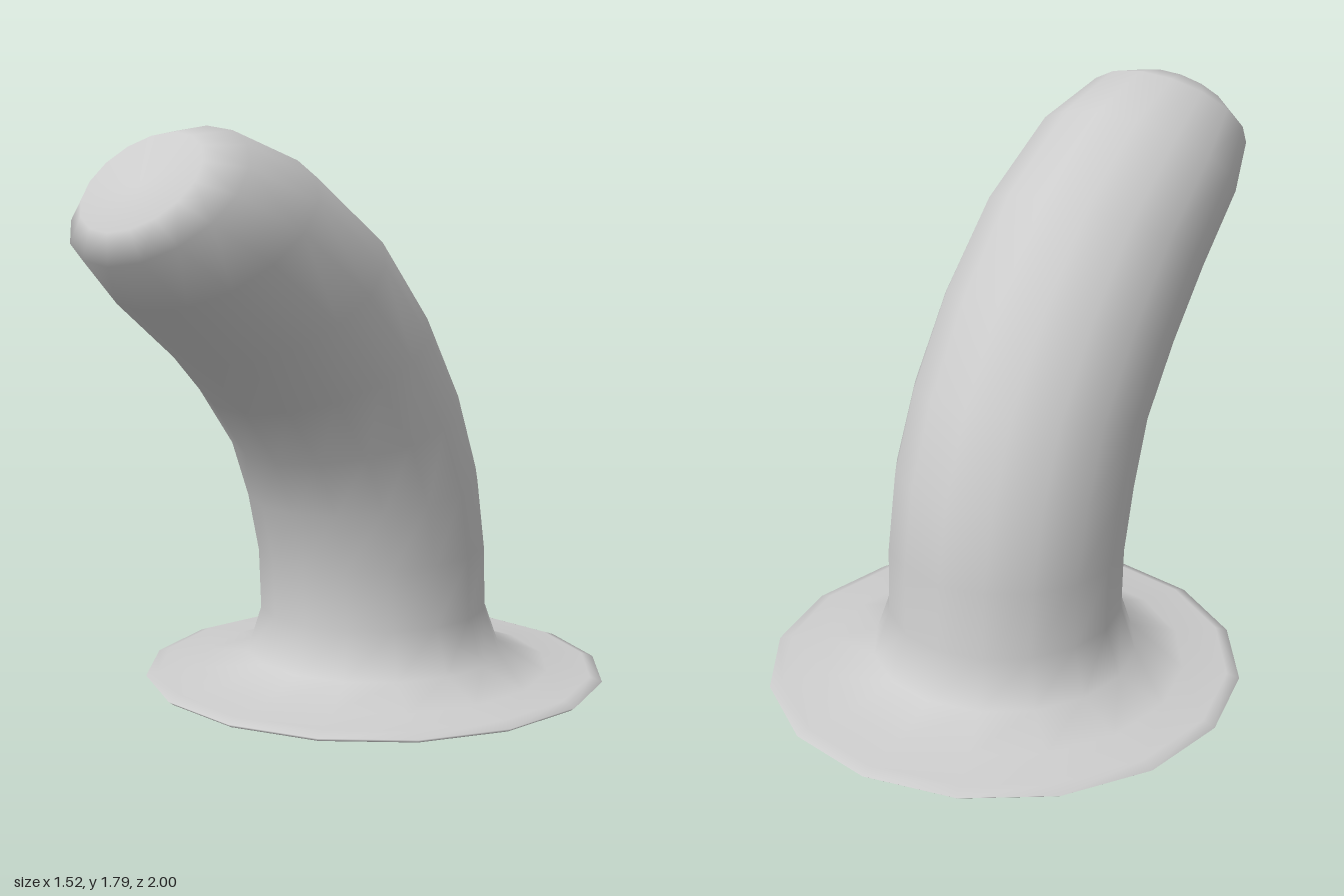
import * as THREE from 'three';

const SIDES = 16;
const BASE_Z = -0.24;

// Smooth surface through circular rings, each given by its front and back points [z, y]
function loftRings(rings, capped) {
  const pos = [], idx = [];
  for (const [fz, fy, bz, by] of rings) {
    const cz = (fz + bz) / 2, cy = (fy + by) / 2;
    const dz = (fz - bz) / 2, dy = (fy - by) / 2;
    const r = Math.hypot(dz, dy);
    for (let i = 0; i < SIDES; i++) {
      const a = (i / SIDES) * Math.PI * 2;
      pos.push(r * Math.sin(a), cy + dy * Math.cos(a), cz + dz * Math.cos(a));
    }
  }
  for (let j = 0; j < rings.length - 1; j++) {
    for (let i = 0; i < SIDES; i++) {
      const n = (i + 1) % SIDES;
      const a = j * SIDES + i, b = j * SIDES + n;
      idx.push(a, b, b + SIDES, a, b + SIDES, a + SIDES);
    }
  }
  if (capped) {
    const [fz, fy, bz, by] = rings[rings.length - 1];
    const centre = pos.length / 3, last = (rings.length - 1) * SIDES;
    pos.push(0, (fy + by) / 2, (fz + bz) / 2);
    for (let i = 0; i < SIDES; i++) idx.push(last + i, last + ((i + 1) % SIDES), centre);
  }
  const g = new THREE.BufferGeometry();
  g.setAttribute('position', new THREE.Float32BufferAttribute(pos, 3));
  g.setIndex(idx);
  g.computeVertexNormals();
  return g;
}

export function createModel() {
  const group = new THREE.Group();
  group.name = 'curvedTubeOnFlange';
  const grey = new THREE.MeshStandardMaterial({ color: 0xcccccc, side: THREE.DoubleSide });
  grey.name = 'lightGrey';

  // Flange: underside lip, thin rim, then the flare into the tube [radius, y]
  const flange = [[0.58, 0.025], [0.72, 0.004], [0.745, 0.008], [0.76, 0.02], [0.72, 0.034], [0.58, 0.04], [0.425, 0.09]]
    .map(([r, y]) => [BASE_Z + r, y, BASE_Z - r, y]);

  // Bent tube: front z, y and back z, y of every ring up to the rounded tip
  const tube = [
    [0.14, 0.24, -0.61, 0.24],
    [0.15, 0.43, -0.60, 0.46],
    [0.20, 0.61, -0.55, 0.71],
    [0.28, 0.78, -0.44, 0.97],
    [0.43, 0.95, -0.25, 1.25],
    [0.61, 1.11, 0.00, 1.51],
    [0.85, 1.28, 0.32, 1.71],
    [1.00, 1.41, 0.59, 1.79],
    [1.00, 1.50, 0.73, 1.77],
  ];

  // One continuous hollow skin, open underneath
  const body = new THREE.Mesh(loftRings([...flange, ...tube], true), grey);
  body.name = 'flangeAndTube';
  group.add(body);
  return group;
}
